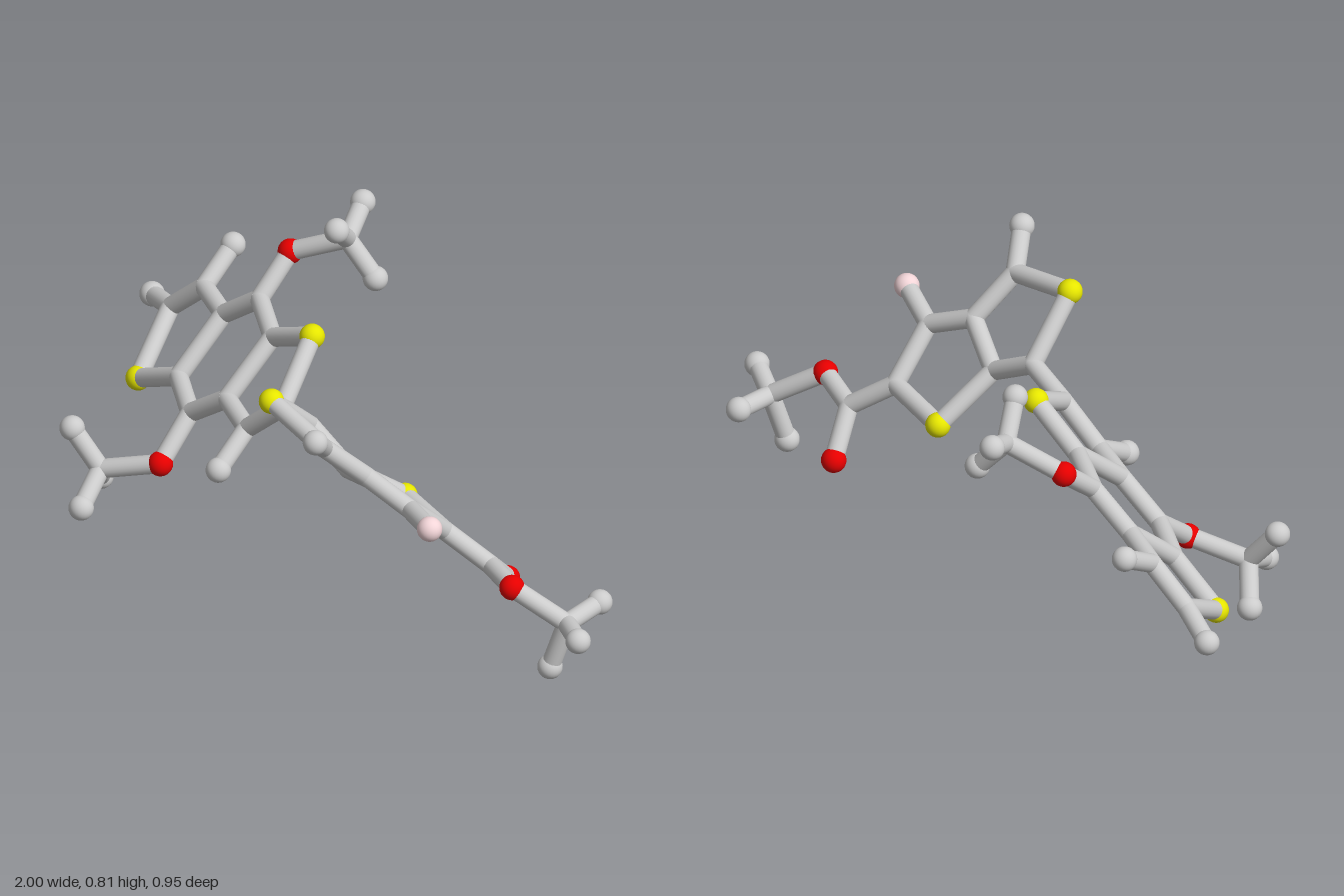
import * as THREE from 'three';

const BALL = 0.034, STICK = 0.026;

const paint = (color) => new THREE.MeshStandardMaterial({ color });
const materials = {
  carbon: paint(0xcccccc), oxygen: paint(0xe60000), sulfur: paint(0xe6e600), fluorine: paint(0xf2d5d8),
};

// Each fragment: atoms as [x, y, z, kind], kind omitted for a plain joint; bonds as chains of atom names
const fragments = {
  threeRingCore: {
    atoms: {
      s1: [-0.757, 0.208, 0.056, 'sulfur'], s2: [-0.143, 0.609, -0.07, 'sulfur'],
      a: [-0.843, 0.325, -0.112], aEnd: [-0.968, 0.29, -0.142, 'carbon'],
      b: [-0.74, 0.428, -0.148], bEnd: [-0.77, 0.502, -0.264, 'carbon'],
      upLeft: [-0.595, 0.432, -0.106], lowLeft: [-0.59, 0.295, 0.045],
      top: [-0.478, 0.528, -0.14], bottom: [-0.43, 0.292, 0.122],
      upRight: [-0.312, 0.522, -0.062], lowRight: [-0.308, 0.387, 0.09],
      c: [-0.16, 0.386, 0.132], cEnd: [-0.13, 0.313, 0.247, 'carbon'],
      link: [-0.05, 0.495, 0.096],
    },
    bonds: ['upLeft top upRight lowRight bottom lowLeft upLeft', 'upLeft b a s1 lowLeft',
      'upRight s2 link c lowRight', 'a aEnd', 'b bEnd', 'c cEnd'],
  },
  upperBranch: {
    atoms: {
      root: [-0.478, 0.528, -0.14], o: [-0.495, 0.627, -0.253, 'oxygen'],
      hub: [-0.366, 0.698, -0.346],
      e1: [-0.307, 0.782, -0.269], e2: [-0.425, 0.749, -0.44], e3: [-0.288, 0.6, -0.382],
    },
    bonds: ['root o hub', 'e1 hub e2', 'hub e3'],
    ends: ['e1', 'e2', 'e3'],
  },
  lowerBranch: {
    atoms: {
      root: [-0.43, 0.292, 0.122], o: [-0.402, 0.19, 0.24, 'oxygen'],
      hub: [-0.535, 0.143, 0.34],
      e1: [-0.616, 0.055, 0.28], e2: [-0.483, 0.084, 0.441], e3: [-0.611, 0.246, 0.378],
    },
    bonds: ['root o hub', 'e1 hub e2', 'hub e3'],
    ends: ['e1', 'e2', 'e3'],
  },
  twoRingUnit: {
    atoms: {
      link: [-0.05, 0.495, 0.096], a: [0.105, 0.525, 0.115],
      s1: [0.14, 0.677, 0.268, 'sulfur'], b: [0.355, 0.635, 0.252],
      bEnd: [0.425, 0.717, 0.33, 'carbon'],
      c: [0.388, 0.52, 0.137], d: [0.24, 0.448, 0.088],
      s2: [0.275, 0.323, -0.072, 'sulfur'], e: [0.49, 0.333, -0.047],
      f: [0.513, 0.46, 0.083], fluorine: [0.66, 0.49, 0.126, 'fluorine'],
    },
    bonds: ['link a s1 b c d a', 'd s2 e f c', 'b bEnd', 'f fluorine'],
  },
  sideChain: {
    atoms: {
      root: [0.49, 0.333, -0.047], hub: [0.59, 0.247, -0.125],
      o1: [0.533, 0.141, -0.221, 'oxygen'], o2: [0.735, 0.264, -0.09, 'oxygen'],
      tip: [0.85, 0.175, -0.186],
      e1: [0.82, 0.036, -0.153], e2: [0.83, 0.186, -0.309], e3: [0.965, 0.195, -0.14],
    },
    bonds: ['root hub o2 tip', 'hub o1', 'e1 tip e2', 'tip e3'],
    ends: ['e1', 'e2', 'e3'],
  },
};

const ballGeometry = new THREE.SphereGeometry(BALL, 24, 16);
const jointGeometry = new THREE.SphereGeometry(STICK, 20, 14);

// Round stick between two points
function stick(p, q) {
  const dir = q.clone().sub(p);
  const mesh = new THREE.Mesh(new THREE.CylinderGeometry(STICK, STICK, dir.length(), 20), materials.carbon);
  mesh.position.copy(p).add(q).multiplyScalar(0.5);
  mesh.quaternion.setFromUnitVectors(new THREE.Vector3(0, 1, 0), dir.normalize());
  mesh.name = 'bond';
  return mesh;
}

function buildFragment(name, { atoms, bonds, ends = [] }) {
  const group = new THREE.Group();
  group.name = name;
  const points = {};
  for (const [key, [x, y, z, type]] of Object.entries(atoms)) {
    const kind = type ?? (ends.includes(key) ? 'carbon' : null);
    points[key] = new THREE.Vector3(x, y, z);
    const mesh = new THREE.Mesh(kind ? ballGeometry : jointGeometry, materials[kind ?? 'carbon']);
    mesh.position.copy(points[key]);
    mesh.name = kind ? `${kind}Ball` : 'joint';
    group.add(mesh);
  }
  for (const chain of bonds) {
    const keys = chain.split(' ');
    for (let i = 1; i < keys.length; i++) group.add(stick(points[keys[i - 1]], points[keys[i]]));
  }
  return group;
}

export function createModel() {
  const model = new THREE.Group();
  model.name = 'ballAndStickMolecule';
  for (const [name, fragment] of Object.entries(fragments)) model.add(buildFragment(name, fragment));
  return model;
}
